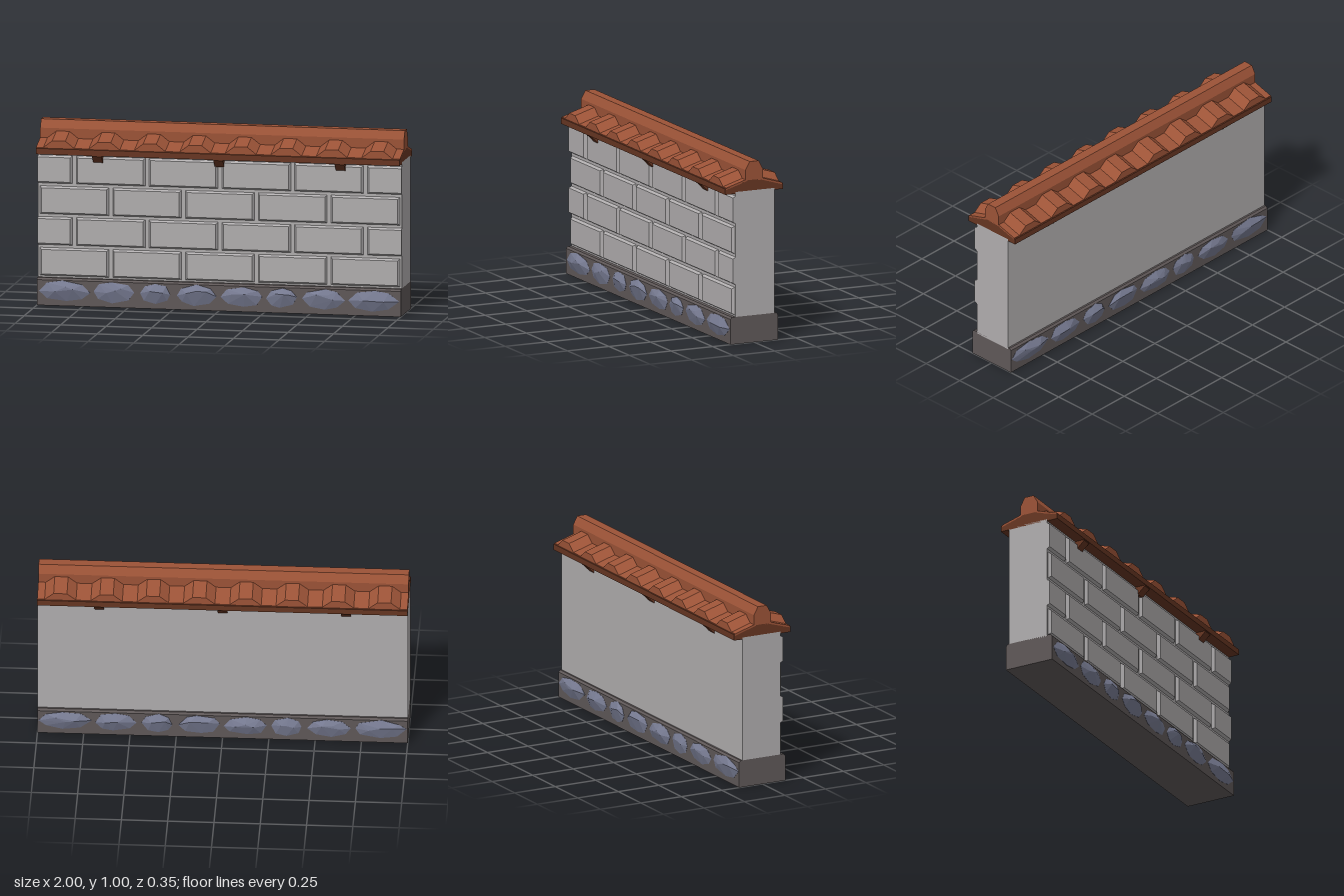
import * as THREE from 'three';
import { ConvexGeometry } from 'three/addons/geometries/ConvexGeometry.js';

const mat = (name, color) => {
  const m = new THREE.MeshStandardMaterial({ color });
  m.name = name;
  return m;
};

// Prism running along x; its section is a list of [z, y] points
function prism(points, x0, x1) {
  const shape = new THREE.Shape(points.map(([z, y]) => new THREE.Vector2(-z, y)));
  const g = new THREE.ExtrudeGeometry(shape, { depth: x1 - x0, bevelEnabled: false });
  return g.rotateY(Math.PI / 2).translate(x0, 0, 0);
}

// Brick whose front face is inset; bevelL and bevelR set the end insets
function brickGeometry(x0, x1, y0, y1, bevelL, bevelR) {
  const zBack = 0.105, zFront = 0.127, b = 0.013;
  const g = new THREE.BoxGeometry(1, 1, 1);
  const p = g.attributes.position;
  for (let i = 0; i < p.count; i++) {
    const front = p.getZ(i) > 0, right = p.getX(i) > 0, top = p.getY(i) > 0;
    const inset = front ? 1 : 0;
    p.setXYZ(i,
      right ? x1 - inset * bevelR : x0 + inset * bevelL,
      top ? y1 - inset * b : y0 + inset * b,
      front ? zFront : zBack);
  }
  g.computeVertexNormals();
  return g;
}

// Row of trapezoid roof tiles, sloping down towards +z
function tileGeometry() {
  const s = new THREE.Shape();
  const valley = 0.867, crest = 0.905, slope = 0.3, zEave = 0.168, depth = 0.128;
  s.moveTo(-1, 0.856);
  s.lineTo(1, 0.856);
  s.lineTo(1, valley);
  for (let k = 7; k >= 0; k--) {
    const c = -0.875 + 0.25 * k;
    s.lineTo(c + 0.085, valley);
    s.lineTo(c + 0.036, crest);
    s.lineTo(c - 0.036, crest);
    s.lineTo(c - 0.085, valley);
  }
  s.lineTo(-1, valley);
  const g = new THREE.ExtrudeGeometry(s, { depth, bevelEnabled: false });
  g.translate(0, 0, zEave - depth);
  const p = g.attributes.position;
  for (let i = 0; i < p.count; i++) p.setY(i, p.getY(i) + slope * (zEave - p.getZ(i)));
  g.computeVertexNormals();
  return g;
}

// Faceted rubble stone standing out of the plinth
function stoneGeometry(cx, halfWidth, rnd) {
  const pts = [], cy = 0.082, n = 8;
  for (let i = 0; i < n; i++) {
    const a = (i + 0.35 * (rnd() - 0.5)) / n * Math.PI * 2;
    const r = 0.95 + 0.12 * rnd();
    const x = cx + Math.cos(a) * halfWidth * r;
    const y = cy + Math.sin(a) * 0.056 * r;
    pts.push(new THREE.Vector3(x, y, 0.135), new THREE.Vector3(x, y, 0.144));
  }
  // uneven ridge on the face
  for (const f of [-0.4, 0.1, 0.45]) {
    pts.push(new THREE.Vector3(
      cx + halfWidth * (f + 0.2 * (rnd() - 0.5)),
      cy + 0.012 + 0.03 * (rnd() - 0.5),
      0.158 + 0.01 * rnd()));
  }
  return new ConvexGeometry(pts);
}

export function createModel() {
  const model = new THREE.Group();
  model.name = 'gardenWall';
  const plaster = mat('wallGrey', 0xb0adae);
  const plinthMat = mat('plinthGrey', 0x5f5858);
  const stoneMat = mat('stoneBlueGrey', 0x777b92);
  const tileMat = mat('terracotta', 0x9c5337);
  const woodMat = mat('darkBrown', 0x673622);

  const add = (parent, name, geometry, material) => {
    const m = new THREE.Mesh(geometry, material);
    m.name = name;
    parent.add(m);
    return m;
  };

  // Plinth with chamfered top edges
  add(model, 'plinth', prism([
    [-0.143, 0], [-0.143, 0.139], [-0.133, 0.15], [0.133, 0.15], [0.143, 0.139], [0.143, 0],
  ], -1, 1), plinthMat);

  // Wall core
  add(model, 'wallCore', prism([
    [-0.123, 0.14], [-0.123, 0.84], [0.111, 0.84], [0.111, 0.14],
  ], -1, 1), plaster);

  // Bricks on the front, in running bond
  const bricks = new THREE.Group();
  bricks.name = 'bricks';
  model.add(bricks);
  for (let row = 0; row < 4; row++) {
    const y0 = 0.155 + 0.1685 * row;
    const start = row % 2 ? -1.2 : -1;
    for (let x = start; x < 0.99; x += 0.4) {
      const cutL = x < -1.01, cutR = x + 0.4 > 1.01;
      add(bricks, 'brick', brickGeometry(
        cutL ? -1 : x + 0.007, cutR ? 1 : x + 0.393, y0, y0 + 0.16,
        cutL ? 0 : 0.014, cutR ? 0 : 0.014), plaster);
    }
  }

  // Rubble stones, tiles and brackets on both sides
  const stones = [
    [-0.85, 0.136], [-0.58, 0.112], [-0.35, 0.083], [-0.125, 0.11],
    [0.125, 0.115], [0.345, 0.083], [0.575, 0.115], [0.85, 0.136],
  ];
  let seed = 7;
  const rnd = () => (seed = (seed * 16807) % 2147483647) / 2147483647;
  for (const side of ['front', 'back']) {
    const group = new THREE.Group();
    group.name = side + 'Details';
    if (side === 'back') group.rotation.y = Math.PI;
    model.add(group);
    for (const [cx, hw] of stones) add(group, 'plinthStone', stoneGeometry(cx, hw, rnd), stoneMat);
    add(group, 'roofTiles', tileGeometry(), tileMat);
    for (const x of [-0.667, 0, 0.667]) {
      add(group, 'bracket', prism([
        [0.1, 0.835], [0.168, 0.835], [0.168, 0.826], [0.125, 0.785], [0.1, 0.785],
      ], x - 0.026, x + 0.026), woodMat);
    }
  }

  // Roof board under the tiles
  add(model, 'roofBoard', prism([
    [-0.174, 0.83], [-0.174, 0.862], [-0.04, 0.898], [0.04, 0.898], [0.174, 0.862], [0.174, 0.83],
  ], -1, 1), woodMat);

  // Ridge cap
  add(model, 'ridgeCap', prism([
    [-0.052, 0.893], [-0.052, 0.955], [-0.027, 1], [0.027, 1], [0.052, 0.955], [0.052, 0.893],
  ], -1, 1), tileMat);

  return model;
}
